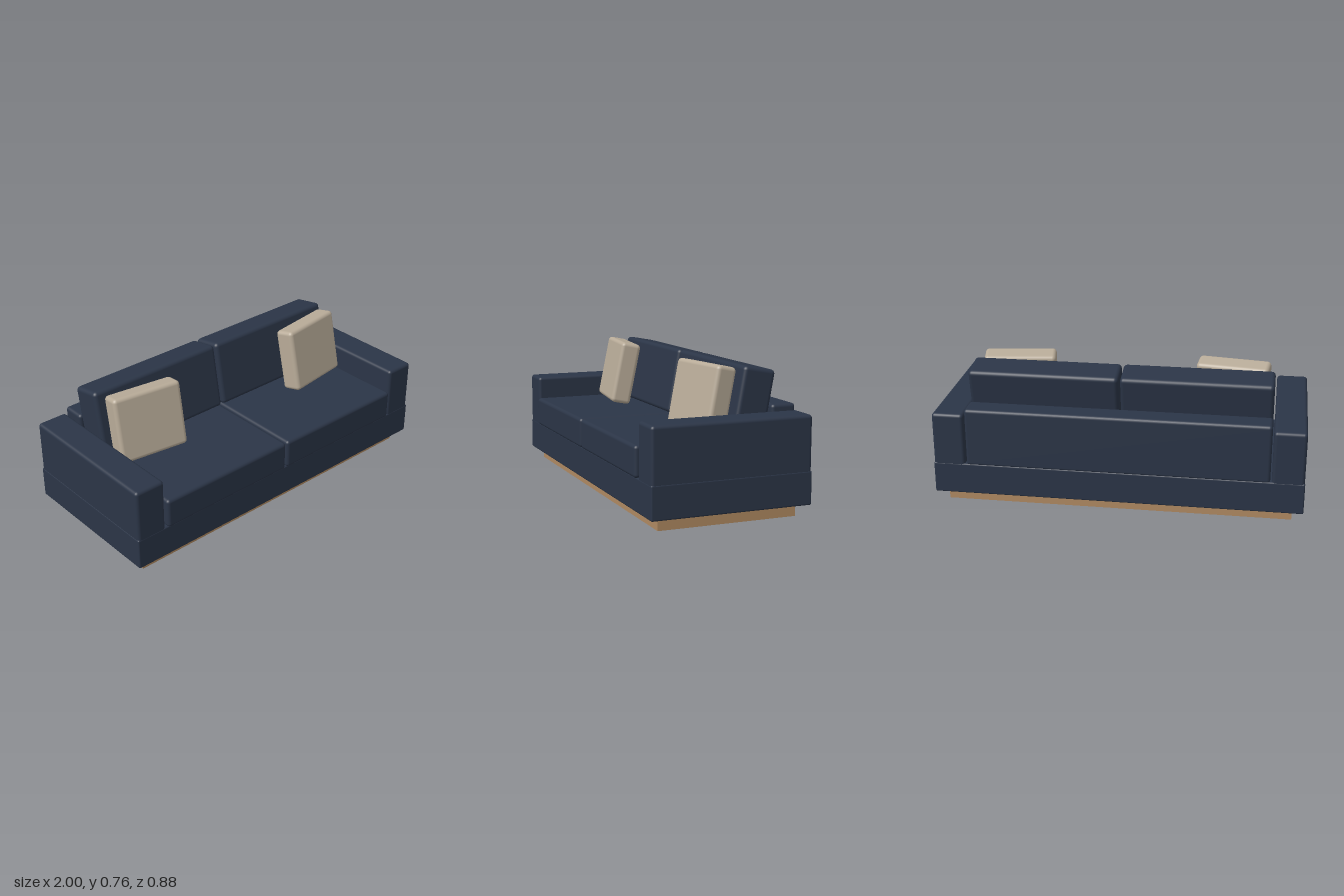
import * as THREE from 'three';
import { RoundedBoxGeometry } from 'three/addons/geometries/RoundedBoxGeometry.js';

const fabric = new THREE.MeshStandardMaterial({ color: 0x2b3547 });
const linen = new THREE.MeshStandardMaterial({ color: 0xb8ab98 });
const wood = new THREE.MeshStandardMaterial({ color: 0xb08a62 });

// Rounded block given by its extents [min, max] on each axis
function block(name, [x0, x1], [y0, y1], [z0, z1], radius, material = fabric) {
  const geometry = new RoundedBoxGeometry(x1 - x0, y1 - y0, z1 - z0, 3, radius);
  const mesh = new THREE.Mesh(geometry, material);
  mesh.name = name;
  mesh.position.set((x0 + x1) / 2, (y0 + y1) / 2, (z0 + z1) / 2);
  return mesh;
}

// Rounded cushion placed by its centre, leaning back and turned about the vertical
function cushion(name, size, centre, lean, turn, radius, material) {
  const mesh = new THREE.Mesh(new RoundedBoxGeometry(...size, 3, radius), material);
  mesh.name = name;
  mesh.position.set(...centre);
  mesh.rotation.set(-lean, turn, 0, 'YXZ');
  return mesh;
}

export function createModel() {
  const sofa = new THREE.Group();
  sofa.name = 'sofa';

  // Recessed wooden plinth
  const plinth = new THREE.Mesh(new THREE.BoxGeometry(1.88, 0.07, 0.75), wood);
  plinth.name = 'plinth';
  plinth.position.set(0, 0.035, -0.005);
  sofa.add(plinth);

  // Upholstered base and backrest between the arms
  sofa.add(block('base', [-1, 1], [0.065, 0.24], [-0.44, 0.428], 0.008));
  sofa.add(block('backrest', [-0.818, 0.818], [0.23, 0.556], [-0.44, -0.305], 0.018));

  for (const side of [-1, 1]) {
    const label = side > 0 ? 'left' : 'right';
    const span = (a, b) => (side > 0 ? [a, b] : [-b, -a]);

    sofa.add(block(label + 'Arm', span(0.826, 0.998), [0.18, 0.524], [-0.439, 0.427], 0.018));
    sofa.add(block(label + 'SeatCushion', span(0.005, 0.817), [0.236, 0.4], [-0.31, 0.44], 0.018));
    sofa.add(cushion(label + 'BackCushion', [0.812, 0.365, 0.178],
      [side * 0.411, 0.565, -0.207], 0.18, 0, 0.022, fabric));

    // Loose throw pillow resting on the seat
    sofa.add(cushion(label + 'ThrowPillow', [0.395, 0.36, 0.115],
      [side * 0.594, 0.58, -0.012], 0.2, side * 0.14, 0.022, linen));
  }
  return sofa;
}
